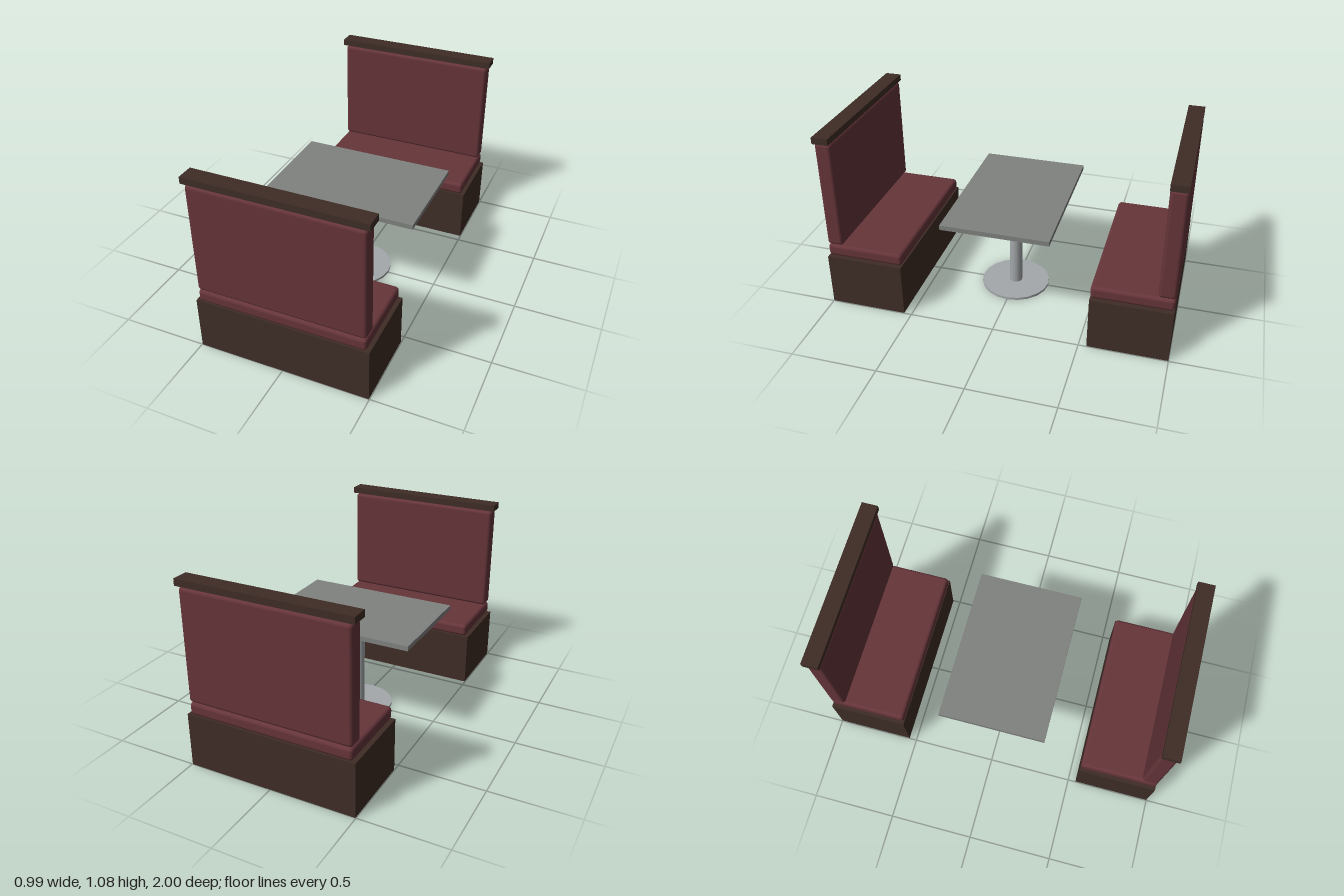
import * as THREE from 'three';
import { RoundedBoxGeometry } from 'three/addons/geometries/RoundedBoxGeometry.js';

const wood = new THREE.MeshStandardMaterial({ color: 0x3f2d26 });
const leather = new THREE.MeshStandardMaterial({ color: 0x66353a });
const tableGrey = new THREE.MeshStandardMaterial({ color: 0x808280 });
const metal = new THREE.MeshStandardMaterial({ color: 0xa4a8aa });

function add(parent, name, geometry, material, y, z = 0) {
  const mesh = new THREE.Mesh(geometry, material);
  mesh.name = name;
  mesh.position.set(0, y, z);
  parent.add(mesh);
}

// One bench with its backrest on the +z side
function createBench(name) {
  const bench = new THREE.Group();
  bench.name = name;
  add(bench, 'benchBase', new THREE.BoxGeometry(0.994, 0.317, 0.454), wood, 0.1585, 0.773);
  add(bench, 'seatCushion', new RoundedBoxGeometry(0.96, 0.073, 0.454, 3, 0.02), leather, 0.3555, 0.773);
  add(bench, 'backCushion', new RoundedBoxGeometry(0.96, 0.646, 0.095, 3, 0.02), leather, 0.718, 0.9525);
  add(bench, 'topRail', new THREE.BoxGeometry(0.994, 0.038, 0.095), wood, 1.064, 0.9525);
  return bench;
}

export function createModel() {
  const model = new THREE.Group();
  model.name = 'diningBooth';

  // Facing benches
  const front = createBench('frontBench');
  const back = createBench('backBench');
  back.rotation.y = Math.PI;
  model.add(front, back);

  // Pedestal table
  const table = new THREE.Group();
  table.name = 'table';
  add(table, 'tableTop', new THREE.BoxGeometry(0.912, 0.028, 0.62), tableGrey, 0.609);
  add(table, 'pedestal', new THREE.CylinderGeometry(0.039, 0.039, 0.582, 16), metal, 0.305);
  add(table, 'foot', new THREE.CylinderGeometry(0.206, 0.206, 0.015, 20), metal, 0.0075);
  model.add(table);

  return model;
}
